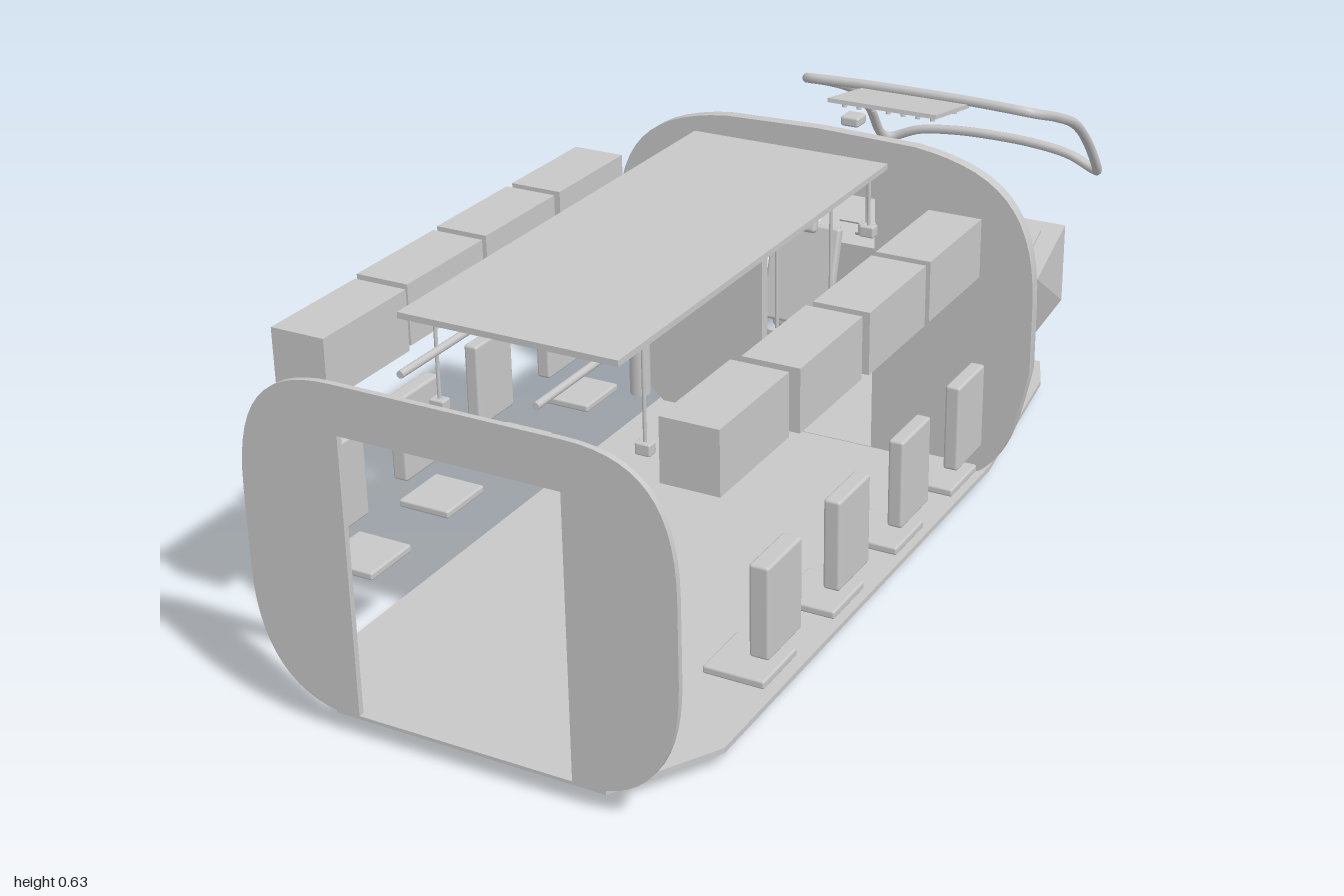
import * as THREE from 'three';
import { toCreasedNormals } from 'three/addons/utils/BufferGeometryUtils.js';
import { RoundedBoxGeometry } from 'three/addons/geometries/RoundedBoxGeometry.js';

export function createModel() {
  const root = new THREE.Group();
  const grey = new THREE.MeshStandardMaterial({ color: 0xc8c8c8 });
  grey.name = 'light grey';

  const add = (name, geo, x = 0, y = 0, z = 0, parent = root) => {
    const m = new THREE.Mesh(geo, grey);
    m.name = name;
    m.position.set(x, y, z);
    parent.add(m);
    return m;
  };
  // Box given by its limits on each axis
  const box = (name, x0, x1, y0, y1, z0, z1, r = 0, parent = root) => {
    const s = [x1 - x0, y1 - y0, z1 - z0];
    const geo = r ? new RoundedBoxGeometry(...s, 2, r) : new THREE.BoxGeometry(...s);
    return add(name, geo, (x0 + x1) / 2, (y0 + y1) / 2, (z0 + z1) / 2, parent);
  };
  const rod = (name, x, y0, y1, z, r) =>
    add(name, new THREE.CylinderGeometry(r, r, y1 - y0, 12), x, (y0 + y1) / 2, z);
  // Closed outline mirrored from its +x half
  const mirrored = (pts) => new THREE.Shape([
    ...pts, ...pts.filter((p) => p.x > 0.001).reverse().map((p) => new THREE.Vector2(-p.x, p.y)),
  ]);

  // Bulkhead with a rectangular doorway
  function bulkhead(name, path, doorX, y0, y1, z0, depth) {
    const shape = mirrored(path.getPoints(14));
    shape.holes.push(new THREE.Path([[-doorX, y0], [-doorX, y1], [doorX, y1], [doorX, y0]]
      .map((p) => new THREE.Vector2(...p))));
    const geo = new THREE.ExtrudeGeometry(shape, { depth, bevelEnabled: false });
    add(name, toCreasedNormals(geo, 0.5), 0, 0, z0);
  }
  const end = new THREE.Path();
  end.moveTo(0, 0.035);
  end.lineTo(0.19, 0.035);
  end.bezierCurveTo(0.31, 0.035, 0.363, 0.12, 0.363, 0.25);
  end.lineTo(0.363, 0.38);
  end.bezierCurveTo(0.363, 0.525, 0.31, 0.585, 0.19, 0.585);
  end.lineTo(0, 0.585);
  bulkhead('endBulkhead', end, 0.185, 0.04, 0.505, 0.99, 0.01);

  const mid = new THREE.Path();
  mid.moveTo(0, 0);
  mid.lineTo(0.24, 0);
  mid.bezierCurveTo(0.36, 0.03, 0.38, 0.08, 0.413, 0.25);
  mid.lineTo(0.413, 0.37);
  mid.bezierCurveTo(0.413, 0.55, 0.34, 0.61, 0.185, 0.628);
  mid.lineTo(0, 0.633);
  bulkhead('cockpitBulkhead', mid, 0.112, 0.036, 0.52, -0.184, 0.022);

  // Floor with tapered ends
  const floorHalf = [[0, 0.99], [0.235, 0.99], [0.335, 0.82], [0.335, -0.19], [0.285, -0.57], [0.25, -0.655], [0, -0.655]]
    .map(([x, z]) => new THREE.Vector2(x, -z));
  const floor = new THREE.ExtrudeGeometry(mirrored(floorHalf), { depth: 0.009, bevelEnabled: false });
  add('floor', floor.rotateX(-Math.PI / 2), 0, 0.026, 0);

  // Ceiling panel, handrails and hanging handles
  box('ceilingPanel', -0.185, 0.185, 0.624, 0.634, -0.05, 0.84);
  for (const s of [-1, 1]) {
    const rail = add('ceilingRail', new THREE.CylinderGeometry(0.006, 0.006, 0.985, 10), s * 0.112, 0.591, 0.448);
    rail.rotation.x = Math.PI / 2;
  }
  for (const [x, y, z] of [[-0.17, 0.46, 0.77], [0.16, 0.445, 0.73], [0.16, 0.46, 0.31],
    [-0.17, 0.46, 0.165], [0.16, 0.44, 0.115], [0.17, 0.525, -0.01], [0.158, 0.52, -0.03]]) {
    rod('handleRod', x, y, 0.626, z, 0.003);
    box('hangingHandle', x - 0.013, x + 0.013, y - 0.01, y + 0.01, z - 0.01, z + 0.01, 0.003);
  }
  box('ceilingLamp', -0.018, 0.018, 0.612, 0.624, 0.15, 0.195, 0.004);
  box('cockpitLamp', -0.018, 0.018, 0.596, 0.615, -0.325, -0.288, 0.005);

  // Overhead lockers and folding seats down both sides
  for (const s of [-1, 1]) {
    const side = (name, a, b, ...rest) => box(name, Math.min(s * a, s * b), Math.max(s * a, s * b), ...rest);
    for (let i = 0; i < 4; i++) {
      const z = 0.02 + i * 0.223;
      const dx = [0, 0, 0.004, 0.013][i];
      side('overheadLocker', 0.292 - dx, 0.386 - dx, 0.492, 0.594, z, z + 0.206);
      const zs = 0.035 + i * 0.222;
      side('foldingSeatBack', 0.382 - dx, 0.408 - dx / 2, 0.193, 0.345, zs, zs + 0.107, 0.005);
      side('foldingSeat', 0.305 - dx, 0.4 - dx / 2, 0.143, 0.157, zs, zs + 0.107, 0.004);
    }
  }

  // Equipment on the cockpit bulkhead
  rod('extinguisher', -0.361, 0.053, 0.188, -0.14, 0.02);
  box('wallBox', 0.148, 0.24, 0.355, 0.43, -0.162, -0.143, 0.004);

  // Pilot seats
  for (const s of [-1, 1]) {
    const seat = new THREE.Group();
    seat.name = 'pilotSeat';
    seat.position.set(s * 0.14, 0, 0);
    root.add(seat);
    box('seatBase', -0.034, 0.034, 0.035, 0.125, -0.49, -0.42, 0, seat);
    box('seatCushion', -0.071, 0.071, 0.122, 0.152, -0.525, -0.39, 0.011, seat);
    const back = new THREE.Group();
    back.name = 'seatBack';
    back.position.set(0, 0.25, -0.385);
    back.rotation.x = -0.27;
    seat.add(back);
    box('backShell', -0.071, 0.071, -0.098, 0.098, -0.008, 0.012, 0.006, back);
    for (const x of [-0.045, 0, 0.045])
      box('backCushion', x - 0.02, x + 0.02, -0.092, 0.092, -0.014, 0, 0.006, back);
    const head = box('headrest', -0.045, 0.045, 0.35, 0.396, -0.367, -0.347, 0.008, seat);
    head.rotation.x = -0.2;
    for (const a of [-1, 1])
      box('armrest', a * 0.075 - 0.008, a * 0.075 + 0.008, 0.178, 0.192, -0.512, -0.41, 0.005, seat);
  }

  // Instrument console lofted through [half width, y, z] corners of its side profile
  const profile = [[0.245, 0.218, -0.632], [0.245, 0.28, -0.775], [0.245, 0.12, -0.775], [0.2, 0.038, -0.69], [0.2, 0.038, -0.64]];
  const pos = [];
  const corner = (i, s) => [s * profile[i][0], profile[i][1], profile[i][2]];
  for (let i = 0; i < 5; i++) {
    const j = (i + 1) % 5;
    pos.push(...corner(i, -1), ...corner(i, 1), ...corner(j, 1), ...corner(i, -1), ...corner(j, 1), ...corner(j, -1));
  }
  for (let i = 0; i < 3; i++) {
    const [a, b, c] = [[0, 1, 2], [0, 2, 3], [0, 3, 4]][i];
    pos.push(...corner(a, 1), ...corner(c, 1), ...corner(b, 1), ...corner(a, -1), ...corner(b, -1), ...corner(c, -1));
  }
  const consoleGeo = new THREE.BufferGeometry();
  consoleGeo.setAttribute('position', new THREE.Float32BufferAttribute(pos, 3));
  consoleGeo.computeVertexNormals();
  add('instrumentConsole', consoleGeo);

  // Screens and buttons lying on the sloping console top
  const dash = new THREE.Group();
  dash.name = 'dashboardDetails';
  dash.position.set(0, 0.249, -0.7035);
  dash.rotation.x = Math.atan2(0.062, 0.143);
  root.add(dash);
  for (const x of [-0.15, 0, 0.15]) box('screen', x - 0.055, x + 0.055, 0, 0.004, -0.05, 0.02, 0, dash);
  for (let i = 0; i < 9; i++) {
    const x = -0.2 + i * 0.05;
    box('button', x - 0.007, x + 0.007, 0, 0.007, 0.04, 0.05, 0, dash);
  }
  for (const s of [-1, 1]) {
    const yoke = add('controlWheel', new THREE.TorusGeometry(0.022, 0.004, 8, 20), s * 0.06, 0.232, -0.645);
    yoke.scale.y = 0.5;
  }

  // Tilted overhead control panel with hanging knobs
  const overhead = new THREE.Group();
  overhead.name = 'overheadPanel';
  overhead.position.set(0, 0.577, -0.505);
  overhead.rotation.x = -0.16;
  root.add(overhead);
  box('panelPlate', -0.11, 0.11, -0.004, 0.004, -0.08, 0.08, 0, overhead);
  for (const z of [-0.06, 0.045])
    for (let i = 0; i < 7; i++)
      add('knob', new THREE.CylinderGeometry(0.005, 0.005, 0.012, 8), -0.09 + i * 0.03, -0.009, z, overhead);

  // Windscreen frame
  const half = [[0, 0.575, -0.583], [0.13, 0.574, -0.583], [0.225, 0.57, -0.585], [0.24, 0.562, -0.605], [0.24, 0.522, -0.715],
    [0.24, 0.475, -0.82], [0.24, 0.41, -0.9], [0.24, 0.335, -0.962], [0.228, 0.326, -0.982], [0.17, 0.348, -0.988], [0.09, 0.359, -0.99], [0, 0.362, -0.99]];
  const loop = [...half, ...half.slice(1, -1).reverse().map(([x, y, z]) => [-x, y, z])].map((p) => new THREE.Vector3(...p));
  const curve = new THREE.CatmullRomCurve3(loop, true, 'centripetal');
  add('windscreenFrame', new THREE.TubeGeometry(curve, 140, 0.01, 8, true));

  return root;
}
